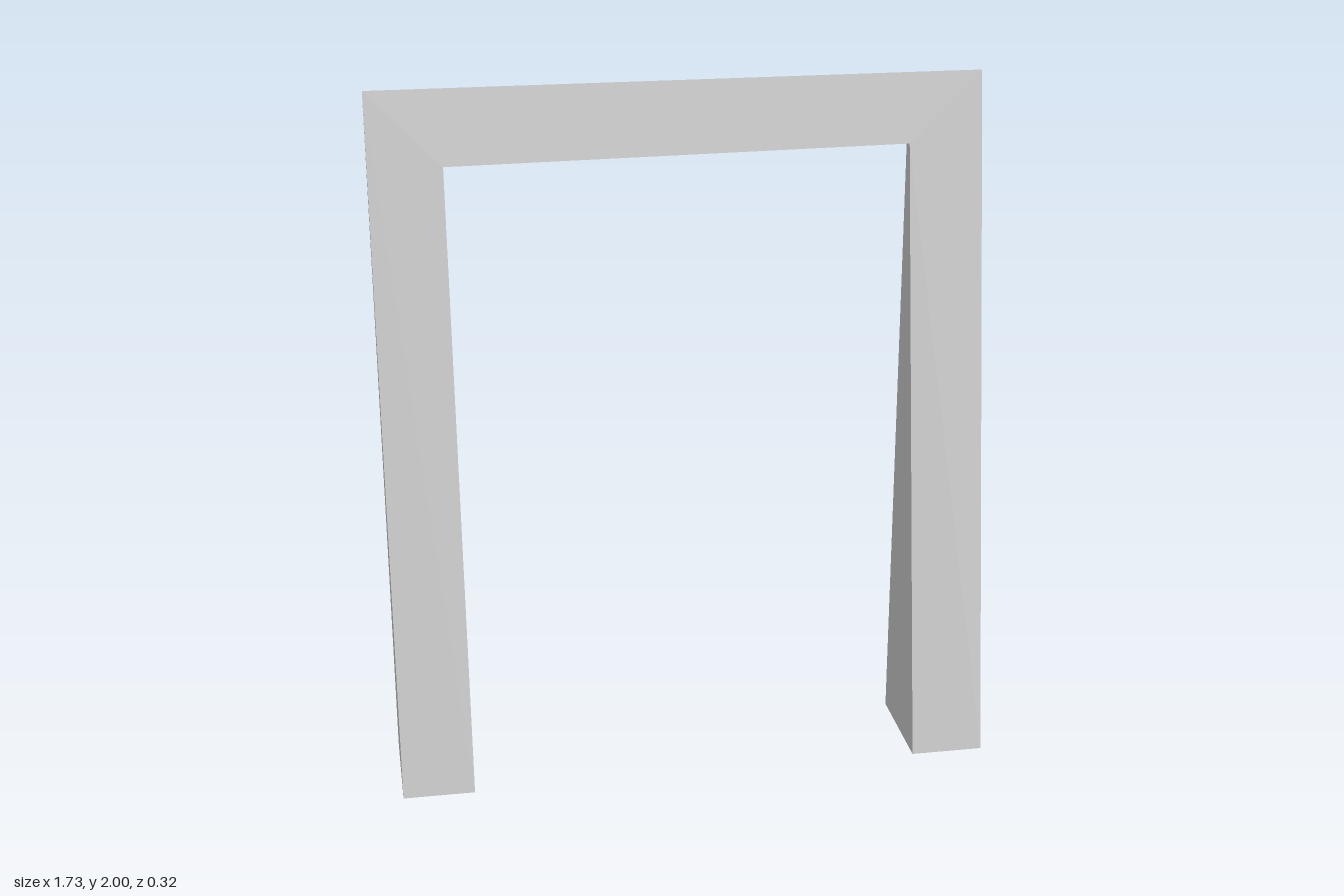
import * as THREE from 'three';

const OUT = 0.867, TOP = 2, BACK = -0.16;
const IN_L = 0.655, IN_R = -0.66;          // inner faces of the legs
const BEAM_L = 1.803, BEAM_R = 1.79;       // beam underside, very slightly tilted
const slantZ = (y) => 0.16 - 0.16 * y;     // the sloping front plane

const material = new THREE.MeshStandardMaterial({
  color: 0xcccccc, flatShading: true, side: THREE.DoubleSide,
});

// Flat convex panel from its corners, counter-clockwise seen from outside
function panel(name, corners) {
  const g = new THREE.BufferGeometry();
  g.setAttribute('position', new THREE.Float32BufferAttribute(corners.flat(), 3));
  const index = [];
  for (let i = 1; i < corners.length - 1; i++) index.push(0, i, i + 1);
  g.setIndex(index);
  g.computeVertexNormals();
  const mesh = new THREE.Mesh(g, material);
  mesh.name = name;
  return mesh;
}

// Triangular side wall, facing +x or -x
function wall(name, x, dir) {
  const c = [[x, 0, BACK], [x, TOP, BACK], [x, 0, slantZ(0)]];
  return panel(name, dir > 0 ? c : c.reverse());
}

// Side walls and foot of one leg, open at the back
function leg(name, x0, x1) {
  const group = new THREE.Group();
  group.name = name;
  const f = slantZ(0);
  group.add(
    wall('legWallLeft', x1, 1),
    wall('legWallRight', x0, -1),
    panel('foot', [[x0, 0, BACK], [x1, 0, BACK], [x1, 0, f], [x0, 0, f]]),
  );
  return group;
}

export function createModel() {
  const model = new THREE.Group();
  model.name = 'portalFrame';

  // Sloping front face: one arch outline leaned back
  const outline = [
    [-OUT, 0], [IN_R, 0], [IN_R, BEAM_R], [IN_L, BEAM_L],
    [IN_L, 0], [OUT, 0], [OUT, TOP], [-OUT, TOP],
  ].map(([x, y]) => new THREE.Vector2(x, y));
  const frontGeo = new THREE.ShapeGeometry(new THREE.Shape(outline));
  const p = frontGeo.attributes.position;
  for (let i = 0; i < p.count; i++) p.setZ(i, slantZ(p.getY(i)));
  frontGeo.computeVertexNormals();
  const front = new THREE.Mesh(frontGeo, material);
  front.name = 'frontFace';
  model.add(front);

  // Hollow wedge legs
  model.add(leg('leftLeg', IN_L, OUT), leg('rightLeg', -OUT, IN_R));

  // Narrow underside of the crossbeam
  model.add(panel('beamUnderside', [
    [IN_R, BEAM_R, BACK], [IN_L, BEAM_L, BACK],
    [IN_L, BEAM_L, slantZ(BEAM_L)], [IN_R, BEAM_R, slantZ(BEAM_R)],
  ]));
  return model;
}
